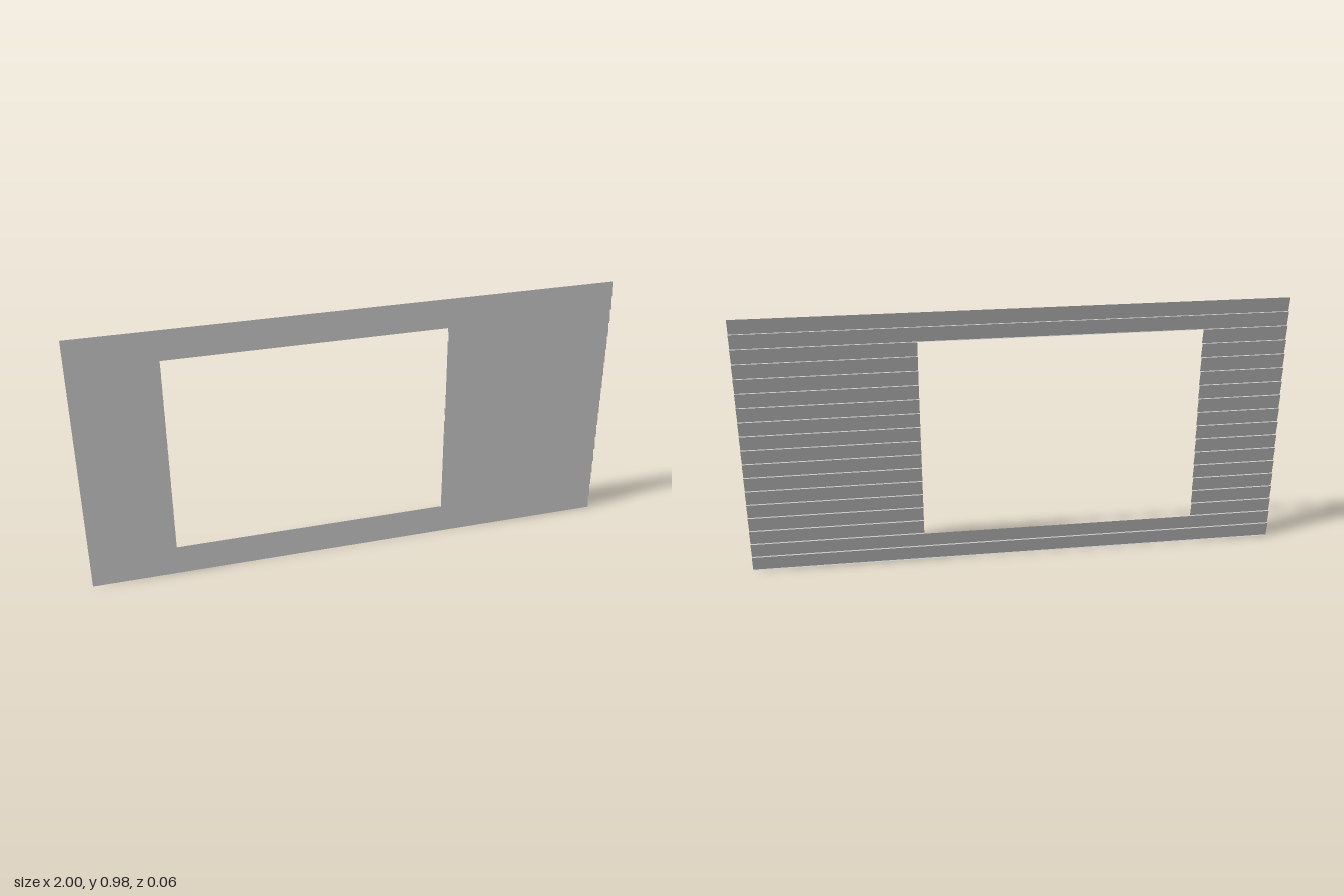
import * as THREE from 'three';

const BOARDS = 18, HEIGHT = 0.978, PITCH = HEIGHT / BOARDS;
const LEAN = 0.004; // half the depth of a board's slope
const OPENING = { left: -0.683, right: 0.355, firstRow: 2, lastRow: 15 };

const material = new THREE.MeshStandardMaterial({
  color: 0xcccccc, flatShading: true, side: THREE.DoubleSide,
});

// One lapped board: a sloping face with a thin lip folded back along its bottom.
function board(name, x0, x1, row) {
  const profile = [
    [(row + 1) * PITCH, -LEAN], // top of the face
    [row * PITCH, LEAN],        // bottom of the face
    [row * PITCH, -LEAN],       // back of the lip
  ];
  const strip = new THREE.PlaneGeometry(x1 - x0, 1, 1, 2);
  const pos = strip.attributes.position;
  for (let i = 0; i < pos.count; i++) {
    const [y, z] = profile[Math.floor(i / 2)];
    pos.setXYZ(i, pos.getX(i) + (x0 + x1) / 2, y, z);
  }
  const geometry = strip.toNonIndexed();
  geometry.computeVertexNormals();
  const mesh = new THREE.Mesh(geometry, material);
  mesh.name = name;
  return mesh;
}

export function createModel() {
  const model = new THREE.Group();
  model.name = 'sidingWall';

  // Boards stacked from the ground, split where the window opening interrupts them
  const siding = new THREE.Group();
  siding.name = 'siding';
  for (let row = 0; row < BOARDS; row++) {
    if (row >= OPENING.firstRow && row <= OPENING.lastRow) {
      siding.add(board('shortBoard', -1, OPENING.left, row));
      siding.add(board('longBoard', OPENING.right, 1, row));
    } else {
      siding.add(board('fullBoard', -1, 1, row));
    }
  }

  // The wall stands slightly turned
  siding.rotation.y = 0.0245;
  model.add(siding);
  return model;
}
